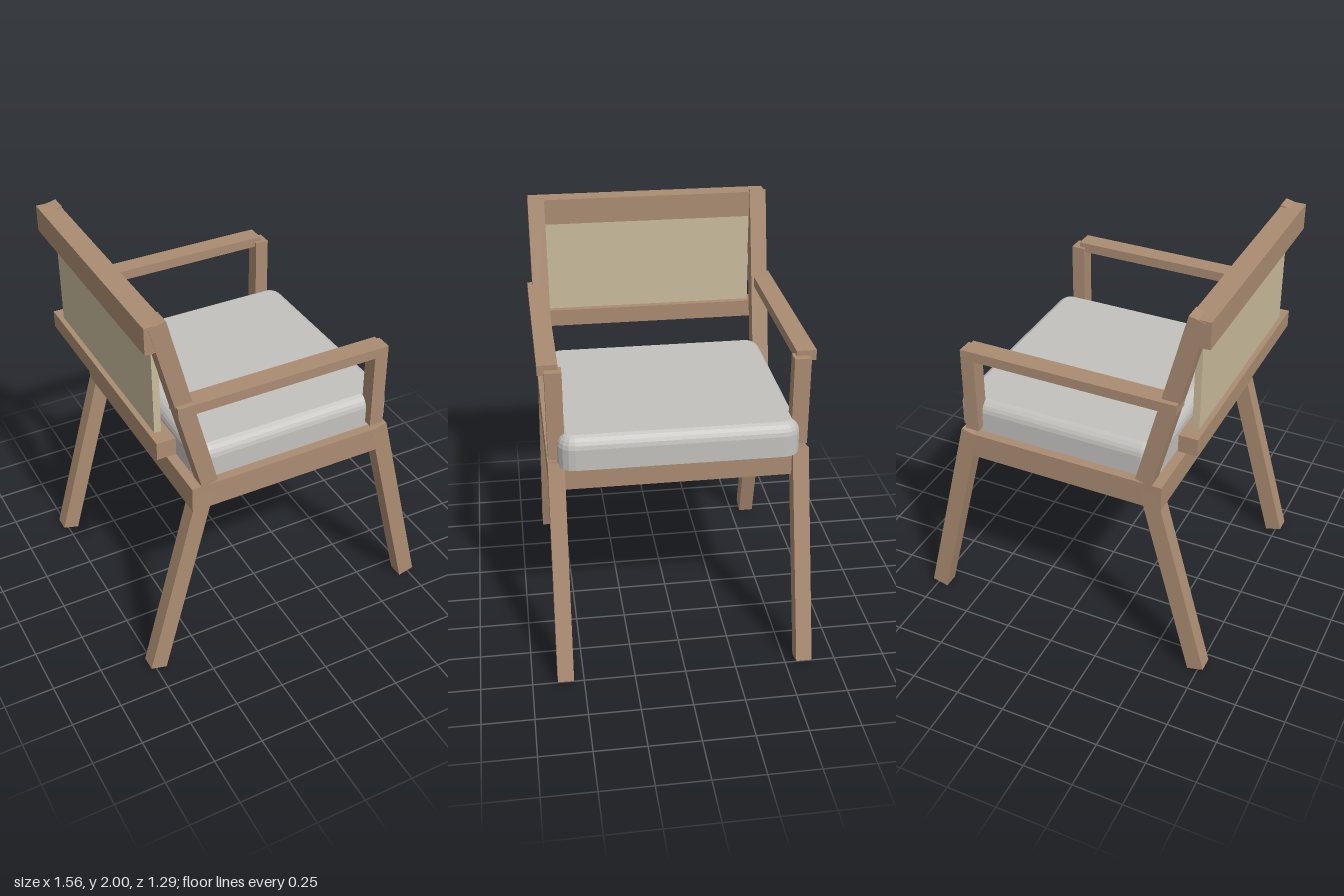
import * as THREE from 'three';
import { ConvexGeometry } from 'three/addons/geometries/ConvexGeometry.js';

export function createModel() {
  const chair = new THREE.Group();
  chair.name = 'armchair';

  const material = (name, color) => {
    const m = new THREE.MeshStandardMaterial({ color });
    m.name = name;
    return m;
  };
  const wood = material('wood', 0xab8c72);
  const fabric = material('seatFabric', 0xc3c1be);
  const cane = material('backCane', 0xcabb9c);

  const add = (name, geometry, mat) => {
    const mesh = new THREE.Mesh(geometry, mat);
    mesh.name = name;
    chair.add(mesh);
    return mesh;
  };

  // Upright box given by its extents on each axis
  const block = (name, [x0, x1], [y0, y1], [z0, z1], mat = wood) => {
    const mesh = add(name, new THREE.BoxGeometry(x1 - x0, y1 - y0, z1 - z0), mat);
    mesh.position.set((x0 + x1) / 2, (y0 + y1) / 2, (z0 + z1) / 2);
  };

  // Slanted square bar between two points of the side profile
  const bar = (name, [x0, y0], [x1, y1], width, z, depth, lean = 0) => {
    const length = Math.hypot(x1 - x0, y1 - y0);
    const mesh = add(name, new THREE.BoxGeometry(width, length, depth), wood);
    mesh.position.set((x0 + x1) / 2, (y0 + y1) / 2, z);
    mesh.rotation.set(lean, 0, Math.atan2(x0 - x1, y1 - y0));
  };

  // Seat frame
  block('seatFrame', [-0.53, 0.51], [0.94, 1.07], [-0.618, 0.618]);

  // Legs, back posts and arms, mirrored left and right
  for (const [label, s] of [['Front', 1], ['Rear', -1]].map(([, v]) => [v > 0 ? 'Right' : 'Left', v])) {
    bar('frontLeg' + label, [0.733, 0.012], [0.478, 1.075], 0.085, s * 0.584, 0.078, -s * 0.01);
    bar('backLeg' + label, [-0.74, 0.012], [-0.458, 1.04], 0.085, s * 0.584, 0.078, -s * 0.01);
    bar('backPost' + label, [-0.44, 1.075], [-0.67, 1.99], 0.083, s * 0.578, 0.084);
    const side = (a, b) => (s > 0 ? [a, b] : [-b, -a]);
    block('armPost' + label, [0.425, 0.495], [1.095, 1.535], side(0.535, 0.614));
    block('armRest' + label, [-0.6, 0.458], [1.51, 1.56], side(0.55, 0.645));
  }

  // Backrest rails and panel
  block('topRail', [-0.73, -0.628], [1.86, 1.99], [-0.617, 0.617]);
  block('lowerRail', [-0.695, -0.603], [1.305, 1.392], [-0.617, 0.617]);
  block('backPanel', [-0.67, -0.637], [1.38, 1.87], [-0.54, 0.54], cane);

  // Cushion: rounded rectangles stacked along an eased edge, as [inset, y]
  const profile = [[0, 1.07], [0, 1.175], [0.005, 1.195], [0.014, 1.211], [0.028, 1.225], [0.045, 1.234]];
  const points = [];
  const radius = 0.08;
  for (const [inset, y] of profile) {
    const r = radius - inset;
    for (let corner = 0; corner < 4; corner++) {
      const sx = corner === 0 || corner === 3 ? 1 : -1;
      const sz = corner < 2 ? 1 : -1;
      for (let i = 0; i <= 4; i++) {
        const a = (corner + i / 4) * Math.PI / 2;
        points.push(new THREE.Vector3(
          0.045 + sx * (0.525 - radius) + r * Math.cos(a),
          y,
          sz * (0.572 - radius) + r * Math.sin(a)));
      }
    }
  }
  add('seatCushion', new ConvexGeometry(points), fabric);

  return chair;
}
